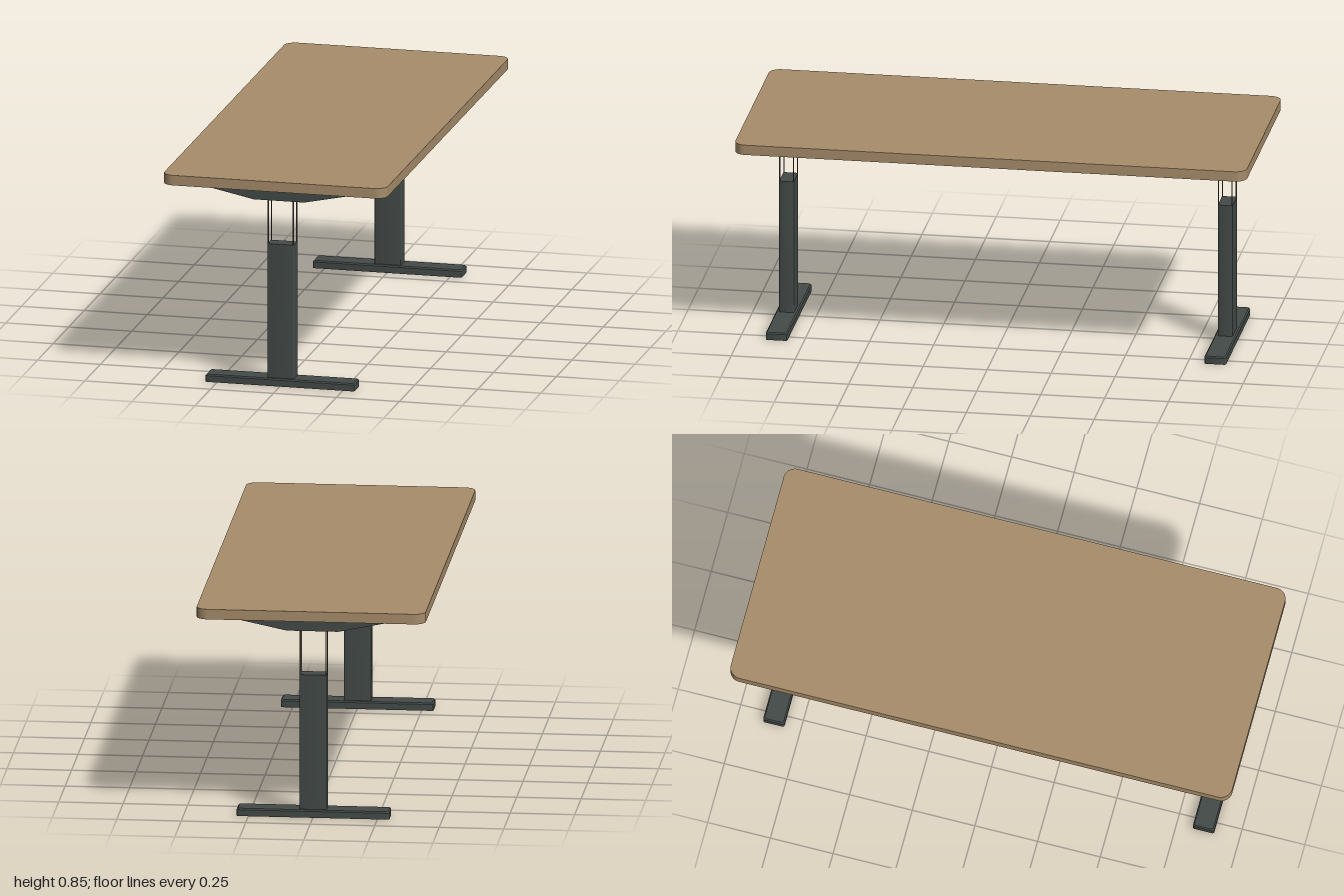
import * as THREE from 'three';
import { toCreasedNormals } from 'three/addons/utils/BufferGeometryUtils.js';

const wood = new THREE.MeshStandardMaterial({ color: 0xa68c6a });
wood.name = 'wood';
const frame = new THREE.MeshStandardMaterial({ color: 0x434a48 });
frame.name = 'darkFrame';
const rodMetal = new THREE.MeshStandardMaterial({ color: 0x5a5048 });
rodMetal.name = 'rodMetal';

function add(parent, name, geometry, material, x = 0, y = 0, z = 0) {
  const mesh = new THREE.Mesh(geometry, material);
  mesh.name = name;
  mesh.position.set(x, y, z);
  parent.add(mesh);
  return mesh;
}

// Upright slab with rounded corners, standing on y = 0; the top rim may be chamfered
function roundedSlab(w, h, d, r, chamfer = 0) {
  const a = w / 2, b = d / 2;
  const s = new THREE.Shape();
  s.moveTo(-a + r, -b);
  s.lineTo(a - r, -b);
  s.absarc(a - r, -b + r, r, -Math.PI / 2, 0);
  s.lineTo(a, b - r);
  s.absarc(a - r, b - r, r, 0, Math.PI / 2);
  s.lineTo(-a + r, b);
  s.absarc(-a + r, b - r, r, Math.PI / 2, Math.PI);
  s.lineTo(-a, -b + r);
  s.absarc(-a + r, -b + r, r, Math.PI, Math.PI * 1.5);
  const g = new THREE.ExtrudeGeometry(s, {
    depth: h, steps: chamfer ? 2 : 1, bevelEnabled: false, curveSegments: 8,
  });
  g.rotateX(-Math.PI / 2);
  if (chamfer) {
    const p = g.attributes.position;
    for (let i = 0; i < p.count; i++) {
      const y = p.getY(i);
      if (y > h * 0.75) {
        p.setX(i, p.getX(i) * (1 - chamfer / a));
        p.setZ(i, p.getZ(i) * (1 - chamfer / b));
      } else if (y > h * 0.25) p.setY(i, h - chamfer);
    }
  }
  return toCreasedNormals(g, Math.PI / 6);
}

// Tapered support plate, drawn in x and y
function bracketGeometry(thickness) {
  const s = new THREE.Shape([
    [-0.32, 0.805], [-0.32, 0.792], [-0.1, 0.746],
    [0.1, 0.746], [0.32, 0.792], [0.32, 0.805],
  ].map(([x, y]) => new THREE.Vector2(x, y)));
  const g = new THREE.ExtrudeGeometry(s, { depth: thickness, bevelEnabled: false });
  g.translate(0, 0, -thickness / 2);
  return g;
}

export function createModel() {
  const table = new THREE.Group();
  table.name = 'table';

  add(table, 'tabletop', roundedSlab(0.888, 0.04, 2, 0.045), wood, 0, 0.805, 0);

  // Long rails under the top
  for (const x of [-0.1, 0.1]) {
    add(table, 'rail', new THREE.BoxGeometry(0.04, 0.04, 1.816), frame, x, 0.785, 0);
  }

  // One leg assembly at each end
  for (const side of [1, -1]) {
    const leg = new THREE.Group();
    leg.name = side > 0 ? 'frontLeg' : 'backLeg';
    table.add(leg);
    const z = side * 0.857;
    add(leg, 'foot', roundedSlab(0.592, 0.03, 0.085, 0.008, 0.005), frame, 0, 0, z);
    add(leg, 'column', roundedSlab(0.106, 0.535, 0.058, 0.004), frame, 0, 0.03, z);
    add(leg, 'bracket', bracketGeometry(0.008), frame, 0, 0, side * 0.909);

    // Slim corner rods carrying the top
    for (const sx of [-1, 1]) {
      for (const sz of [-1, 1]) {
        add(leg, 'cornerRod', new THREE.BoxGeometry(0.004, 0.24, 0.004), rodMetal,
          sx * 0.05, 0.685, z + sz * 0.0265);
      }
    }
  }
  return table;
}
